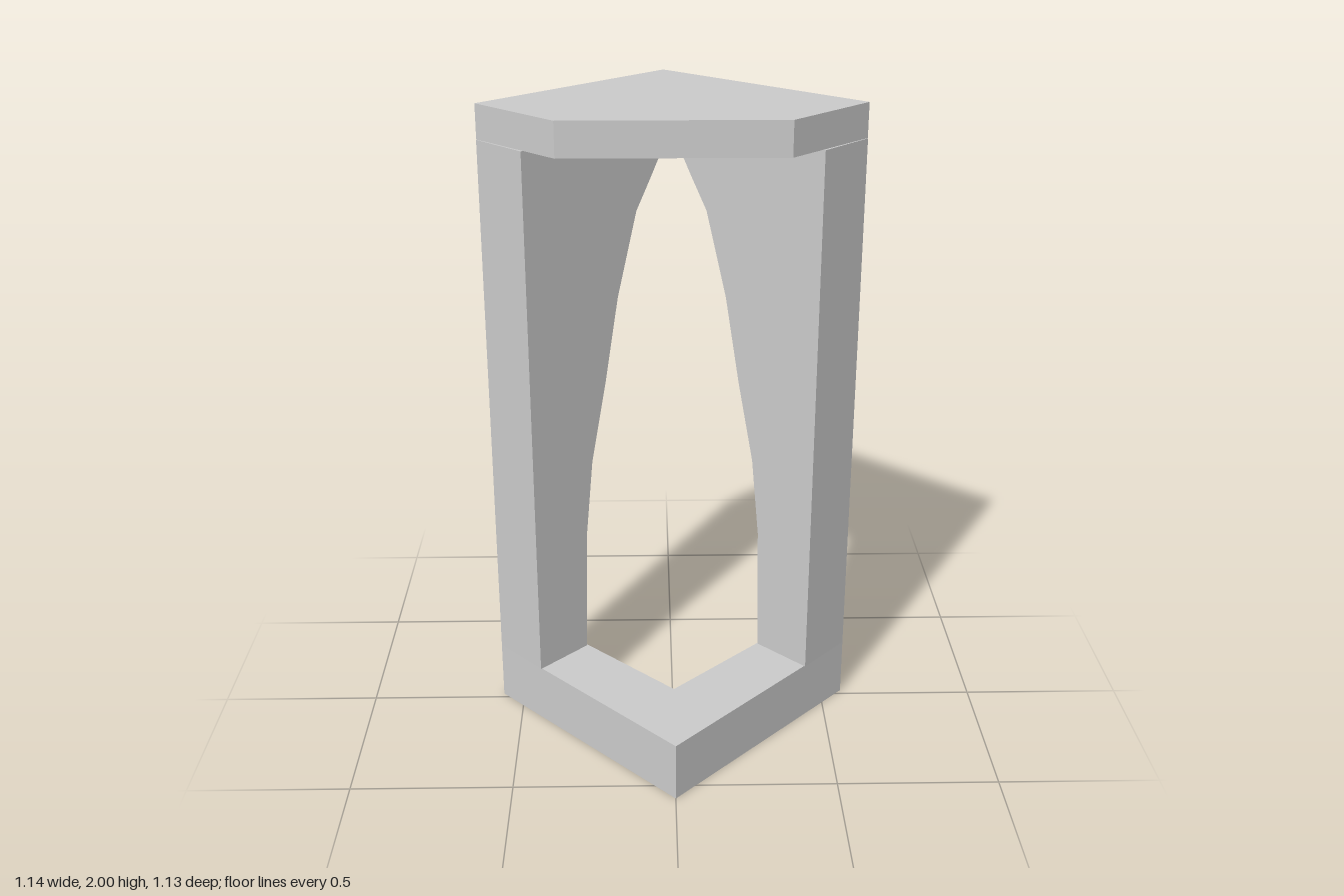
import * as THREE from 'three';

const material = new THREE.MeshStandardMaterial({ color: 0xcccccc, flatShading: true });

// Join rings of [x, y, z] corners (ordered right, front, left, back) into a closed solid.
function loft(name, rings) {
  const pos = [];
  const tri = (a, b, c) => pos.push(...a, ...b, ...c);
  for (let r = 0; r < rings.length - 1; r++) {
    const lo = rings[r], hi = rings[r + 1];
    for (let i = 0; i < lo.length; i++) {
      const j = (i + 1) % lo.length;
      tri(lo[j], lo[i], hi[i]);
      tri(lo[j], hi[i], hi[j]);
    }
  }
  const cap = (ring, up) => {
    const flat = ring.map(p => new THREE.Vector2(p[0], p[2]));
    for (const [i, j, k] of THREE.ShapeUtils.triangulateShape(flat, [])) {
      const a = flat[i], b = flat[j], c = flat[k];
      const facesUp = (b.x - a.x) * (c.y - a.y) - (b.y - a.y) * (c.x - a.x) < 0;
      if (facesUp === up) tri(ring[i], ring[j], ring[k]);
      else tri(ring[i], ring[k], ring[j]);
    }
  };
  cap(rings[0], false);
  cap(rings[rings.length - 1], true);
  return mesh(name, pos);
}

function mesh(name, pos) {
  const geo = new THREE.BufferGeometry();
  geo.setAttribute('position', new THREE.Float32BufferAttribute(pos, 3));
  geo.computeVertexNormals();
  const m = new THREE.Mesh(geo, material);
  m.name = name;
  return m;
}

const level = (y, points) => points.map(([x, z]) => [x, y, z]);

// Half arch: height, x of the inner edge, z of the outer edge
const arch = [
  [0.19, 0.285, -0.16], [0.6, 0.277, -0.187], [0.85, 0.255, -0.215],
  [1.1, 0.21, -0.257], [1.37, 0.168, -0.32], [1.63, 0.108, -0.39],
  [1.72, 0.065, -0.43], [1.79, 0.033, -0.475], [1.85, 0, -0.525], [1.89, 0, -0.54],
];

// A square corner post that widens upward into the rear wall
function archWall(name, side) {
  const rings = arch.map(([y, ix, oz]) => {
    const ox = Math.max(0, 0.57 * (1 - (-0.02 - oz) / 0.515));
    const section = [[0.57, -0.02], [0.43, 0.13], [ix, ix - 0.3], [ox, oz]];
    const points = section.map(([x, z]) => [x * side, z]);
    return level(y, side > 0 ? points : points.reverse());
  });
  return loft(name, rings);
}

export function createModel() {
  const group = new THREE.Group();
  group.name = 'archedStand';

  // V-shaped base along the two front edges
  const plan = [[0.57, -0.02], [0, 0.565], [-0.57, -0.02], [-0.43, -0.16], [0, 0.255], [0.43, -0.16]];
  group.add(loft('base', [level(0, plan), level(0.19, plan)]));

  // Posts and rear arches
  group.add(archWall('leftArchWall', 1), archWall('rightArchWall', -1));

  // Top slab with its front corner cut off and the rear corner leaning out
  const slab = back => [[0.57, -0.025], [0.33, 0.22], [-0.33, 0.22], [-0.57, -0.025], back];
  group.add(loft('topSlab', [level(1.89, slab([0, -0.54])), level(1.995, slab([-0.02, -0.562]))]));

  // Small fillet where the arches meet under the slab
  group.add(mesh('archFillet', [0, 1.85, -0.3, 0.11, 1.89, -0.19, -0.11, 1.89, -0.19]));

  return group;
}
